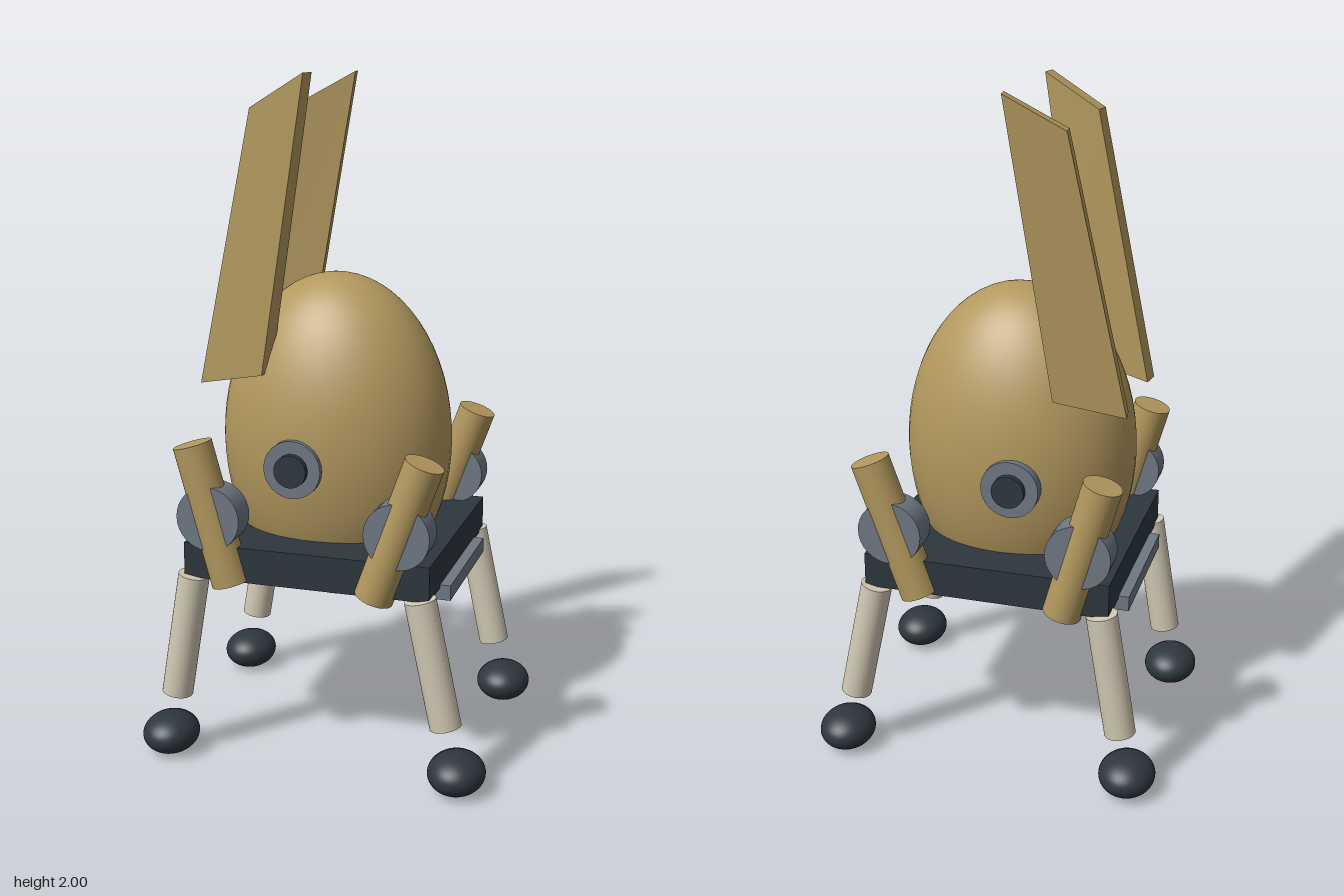
import * as THREE from 'three';

export function createModel() {
  const model = new THREE.Group();
  model.name = 'eggWalker';

  const material = (name, color) => {
    const m = new THREE.MeshStandardMaterial({ color });
    m.name = name;
    return m;
  };
  const tan = material('tan', 0xb2985e);
  const grey = material('steelGrey', 0x6f7883);
  const dark = material('darkSlate', 0x2d373e);
  const cream = material('cream', 0xd2c9b4);

  const add = (name, geometry, mat, x = 0, y = 0, z = 0) => {
    const mesh = new THREE.Mesh(geometry, mat);
    mesh.name = name;
    mesh.position.set(x, y, z);
    model.add(mesh);
    return mesh;
  };

  const ellipsoid = (name, mat, [rx, ry, rz], x, y, z) =>
    add(name, new THREE.SphereGeometry(1, 48, 32).scale(rx, ry, rz), mat, x, y, z);

  // Cylinder running between two points
  const rod = (name, mat, radius, from, to) => {
    const a = new THREE.Vector3(...from);
    const b = new THREE.Vector3(...to);
    const dir = b.clone().sub(a);
    const mesh = add(name, new THREE.CylinderGeometry(radius, radius, dir.length(), 32), mat);
    mesh.position.copy(a).add(b).multiplyScalar(0.5);
    mesh.quaternion.setFromUnitVectors(new THREE.Vector3(0, 1, 0), dir.normalize());
    return mesh;
  };

  // Egg-shaped body set through the platform
  ellipsoid('body', tan, [0.347, 0.495, 0.273], -0.02, 0.936, 0);
  add('platform', new THREE.BoxGeometry(0.733, 0.104, 0.702), dark, -0.01, 0.622, 0);
  add('underPlate', new THREE.BoxGeometry(0.795, 0.045, 0.444), grey, -0.01, 0.557, 0);

  // Ear corners by [right?, top?, outer?]; z is mirrored for the second ear
  const earCorners = {
    '000': [-0.371, 1.114, 0.131], '001': [-0.379, 1.114, 0.19],
    '010': [-0.198, 1.905, 0.166], '011': [-0.205, 1.905, 0.218],
    '100': [-0.165, 1.156, 0.172], '101': [-0.175, 1.156, 0.23],
    '110': [-0.028, 2.0, 0.204], '111': [-0.036, 2.0, 0.254],
  };
  const ear = (side) => {
    const geometry = new THREE.BoxGeometry(2, 2, 2).toNonIndexed();
    const p = geometry.attributes.position;
    for (let i = 0; i < p.count; i++) {
      const key = [p.getX(i), p.getY(i), p.getZ(i) * side].map((v) => (v > 0 ? 1 : 0)).join('');
      const [x, y, z] = earCorners[key];
      p.setXYZ(i, x, y, z * side);
    }
    geometry.computeVertexNormals();
    return geometry;
  };

  for (const side of [1, -1]) {
    const end = side > 0 ? 'Front' : 'Back';
    const z = 0.335 * side;

    add('ear' + end, ear(side), tan);

    // Eye: steel ring with a dark lens standing proud
    rod('eyeRing' + end, grey, 0.085, [-0.066, 0.9, 0.15 * side], [-0.066, 0.9, 0.288 * side]);
    rod('eyeLens' + end, dark, 0.048, [-0.066, 0.9, 0.15 * side], [-0.066, 0.9, 0.307 * side]);

    // Legs: [label, upper top, upper bottom, joint, shin top, shin bottom, foot x, ...]
    const legs = [
      { label: 'Left', top: [0.335, 0.965], low: [0.192, 0.563], joint: 0.267, knee: [0.327, 0.572], ankle: [0.406, 0.2], foot: 0.44 },
      { label: 'Right', top: [-0.349, 0.968], low: [-0.237, 0.561], joint: -0.29, knee: [-0.353, 0.575], ankle: [-0.416, 0.197], foot: -0.44 },
    ];
    for (const leg of legs) {
      const tag = end + leg.label;
      rod('upperLeg' + tag, tan, 0.057, [...leg.top, z], [...leg.low, z]);
      rod('hipJoint' + tag, grey, 0.095, [leg.joint, 0.76, z - 0.043], [leg.joint, 0.76, z + 0.043]);
      rod('lowerLeg' + tag, cream, 0.046, [...leg.knee, z], [...leg.ankle, z]);
      ellipsoid('foot' + tag, dark, [0.083, 0.06, 0.095], leg.foot, 0.064, z);
    }
  }
  return model;
}
